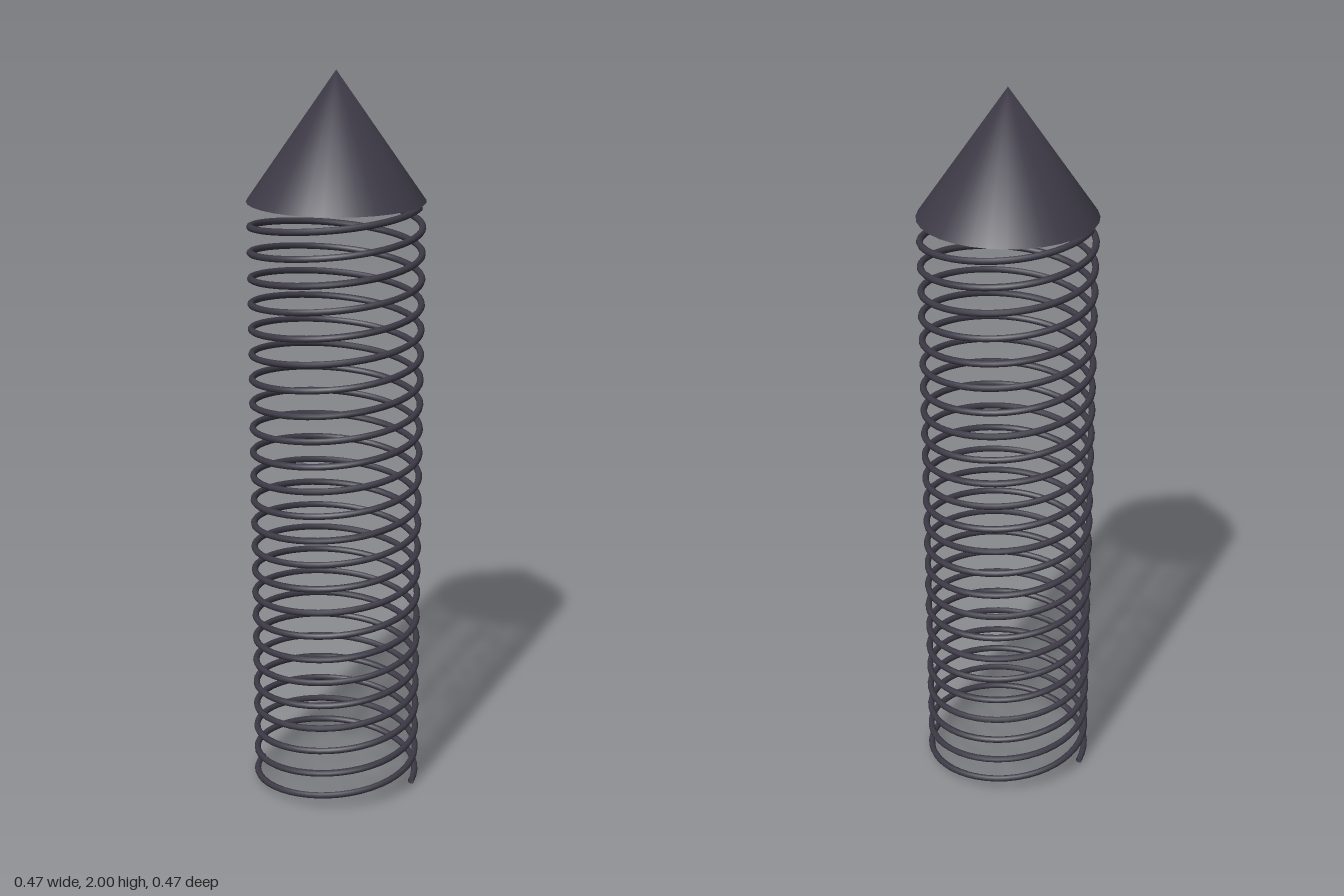
import * as THREE from 'three';
import { mergeVertices } from 'three/addons/utils/BufferGeometryUtils.js';

const WIRE = 0.009;        // wire radius
const COIL = 0.226;        // coil radius to the wire centre
const TURNS = 12;
const CONE_BASE = 1.665;
const CONE_RADIUS = 0.235;
const CONE_SIDES = 32;

// Rising helix, counterclockwise seen from above
class Helix extends THREE.Curve {
  constructor(phase) {
    super();
    this.phase = phase;
    this.arcLengthDivisions = 1000;
  }
  getPoint(t, target = new THREE.Vector3()) {
    const a = this.phase + t * TURNS * Math.PI * 2;
    const y = THREE.MathUtils.lerp(WIRE + 0.001, CONE_BASE - 0.006, t);
    return target.set(COIL * Math.cos(a), y, -COIL * Math.sin(a));
  }
}

export function createModel() {
  const model = new THREE.Group();
  model.name = 'coneOnDoubleSpring';
  const material = new THREE.MeshStandardMaterial({ color: 0x3d3a46, side: THREE.DoubleSide });

  const add = (name, geometry) => {
    const mesh = new THREE.Mesh(geometry, material);
    mesh.name = name;
    model.add(mesh);
    return mesh;
  };

  // Two interleaved spring wires, half a turn apart
  ['leftSpring', 'rightSpring'].forEach((name, i) => {
    add(name, new THREE.TubeGeometry(new Helix(i * Math.PI), TURNS * 48, WIRE, 8));
  });

  // Cone top, shaded smoothly over a shared tip
  const height = 2 - CONE_BASE;
  let side = new THREE.ConeGeometry(CONE_RADIUS, height, CONE_SIDES, 1, true);
  side.deleteAttribute('normal');
  side.deleteAttribute('uv');
  side = mergeVertices(side);
  side.computeVertexNormals();
  add('coneSide', side).position.y = CONE_BASE + height / 2;

  // Flat underside of the cone
  const base = new THREE.CircleGeometry(CONE_RADIUS, CONE_SIDES);
  base.rotateX(Math.PI / 2);
  add('coneBase', base).position.y = CONE_BASE;

  return model;
}
